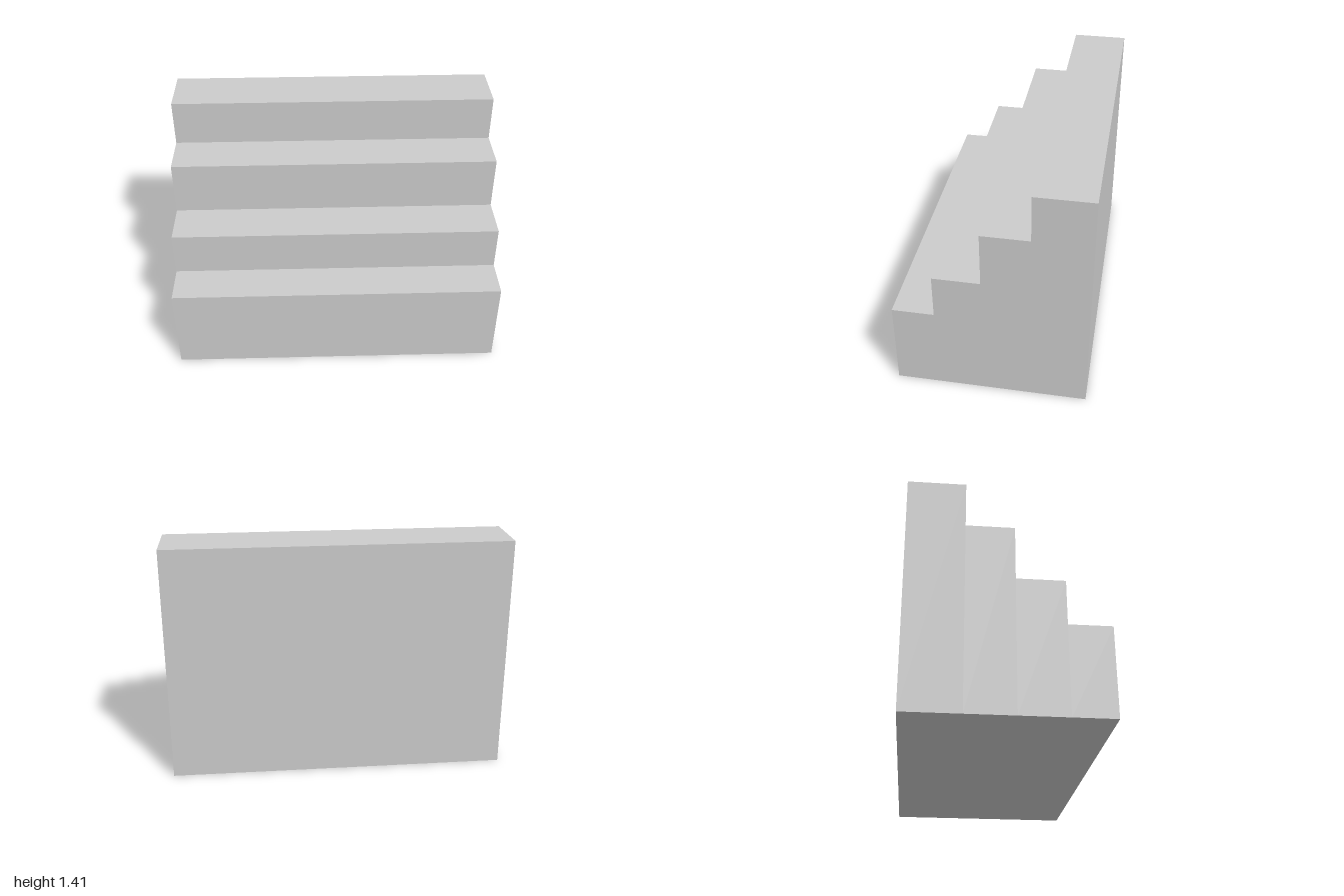
import * as THREE from 'three';

// Each step is a full-height block: front z, back z, height
const STEPS = [
  [0.57, 0.322, 0.535],
  [0.322, 0.045, 0.805],
  [0.045, -0.233, 1.135],
  [-0.233, -0.567, 1.415],
];
const WIDTH = 2;

export function createModel() {
  const group = new THREE.Group();
  group.name = 'staircase';
  const material = new THREE.MeshStandardMaterial({ color: 0xcccccc, flatShading: true });

  // Steps rising from the front to the back
  STEPS.forEach(([front, back, height], i) => {
    const step = new THREE.Mesh(new THREE.BoxGeometry(WIDTH, height, front - back), material);
    step.name = `step${i + 1}`;
    step.position.set(0, height / 2, (front + back) / 2);
    group.add(step);
  });

  return group;
}
